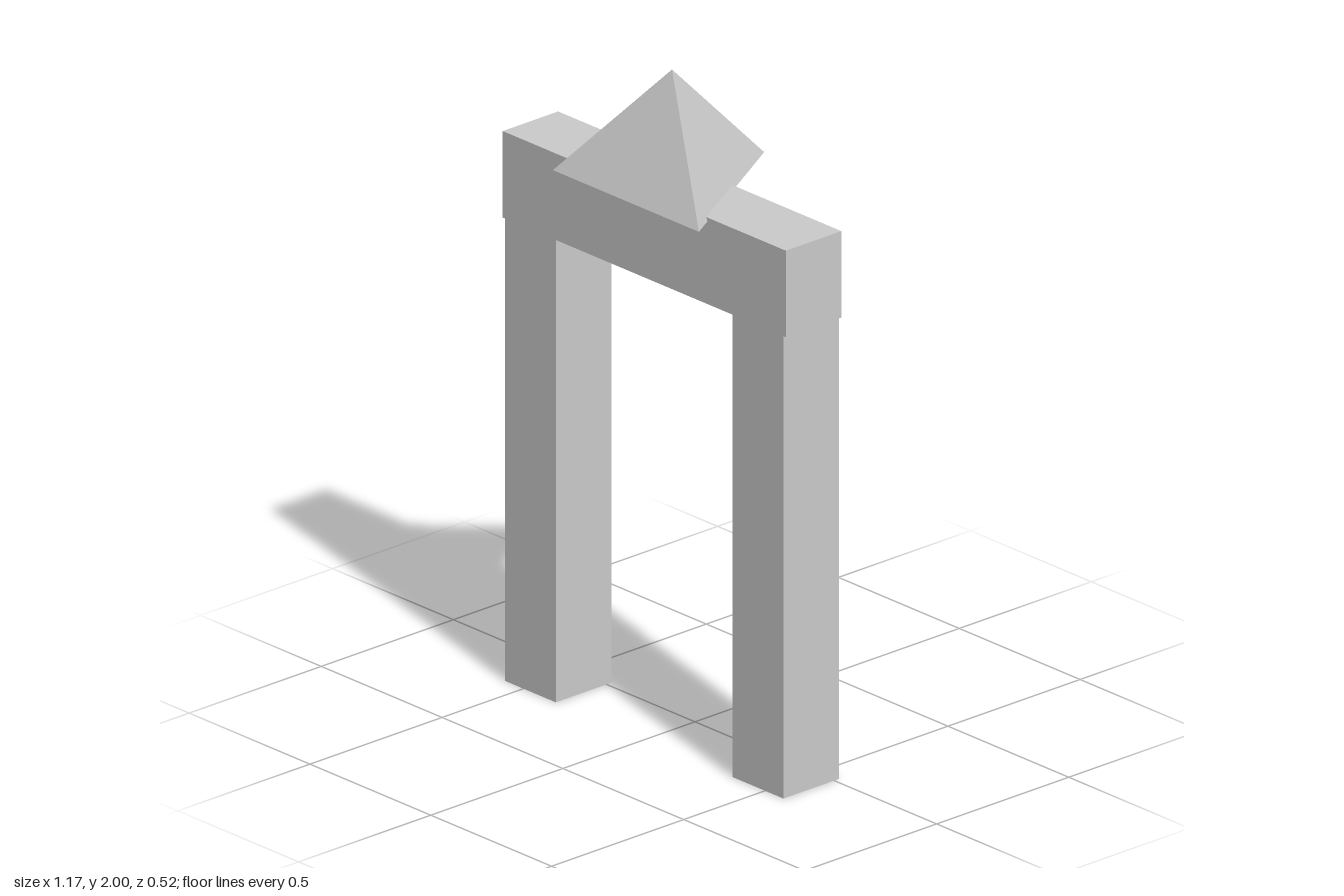
import * as THREE from 'three';

export function createModel() {
  const group = new THREE.Group();
  const material = new THREE.MeshStandardMaterial({ color: 0xcccccc, flatShading: true });
  const centreZ = 0.087;
  const depth = 0.21;

  const add = (name, geometry, x, y) => {
    const mesh = new THREE.Mesh(geometry, material);
    mesh.name = name;
    mesh.position.set(x, y, centreZ);
    group.add(mesh);
    return mesh;
  };

  // Two square posts
  const postHeight = 1.4;
  for (const [name, side] of [['leftPost', 1], ['rightPost', -1]]) {
    add(name, new THREE.BoxGeometry(0.21, postHeight, depth), side * 0.471, postHeight / 2);
  }

  // Crossbeam resting on the posts, overhanging slightly
  const beamHeight = 0.262;
  add('crossbeam', new THREE.BoxGeometry(1.172, beamHeight, depth), 0, postHeight + beamHeight / 2);

  // Three-sided pyramid sunk a little into the beam, one corner to the back
  const pyramidHeight = 0.349;
  const pyramid = add('pyramid', new THREE.ConeGeometry(0.349, pyramidHeight, 3), 0, 2 - pyramidHeight / 2);
  pyramid.rotation.y = Math.PI;

  return group;
}
